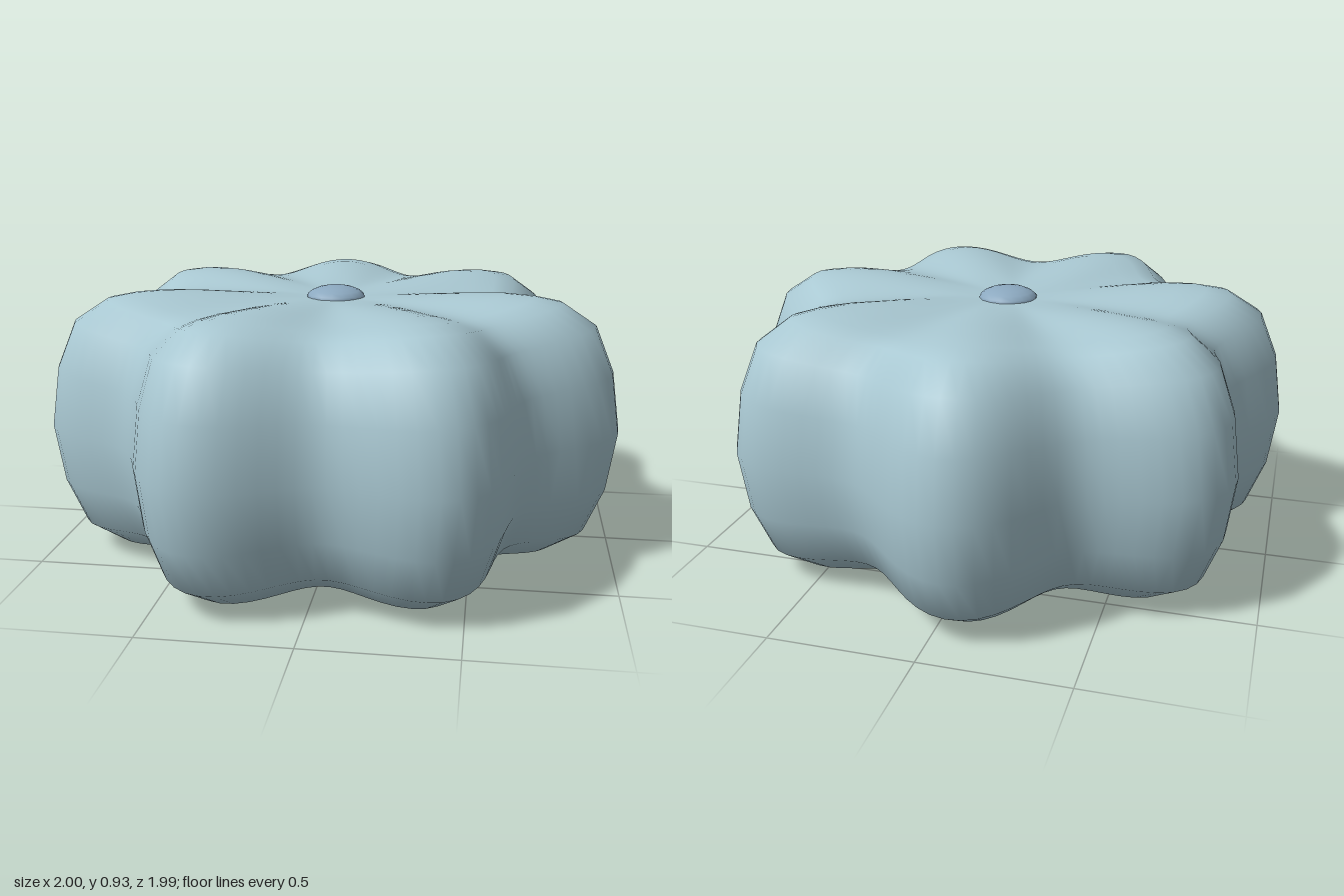
import * as THREE from 'three';

const LOBES = 7, SEGMENTS = 112, MID = 0.472;
const PHASE = THREE.MathUtils.degToRad(8.3); // direction of one lobe crest

// Half profile from pole to equator: [share of rim radius, height above the middle]
const HALF = [
  [0, 0.425], [0.1, 0.427], [0.22, 0.436], [0.34, 0.447], [0.47, 0.458], [0.6, 0.463],
  [0.7, 0.457], [0.79, 0.441], [0.905, 0.366], [0.97, 0.207], [1, 0],
];

// Lobed cushion: rings run from the top pole to the bottom pole
function cushionGeometry() {
  const lower = HALF.slice(0, -1).reverse().map(([f, y]) => [f, -y]);
  const profile = [...HALF, ...lower];
  const positions = [], index = [];
  for (const [f, y] of profile) {
    for (let i = 0; i < SEGMENTS; i++) {
      const a = (i / SEGMENTS) * Math.PI * 2;
      const wave = Math.cos(LOBES * (a - PHASE));
      const r = f * (0.937 + 0.086 * wave);
      // creases between the lobes sink a little on the top and bottom
      const sink = 0.04 * (1 - wave) / 2 * THREE.MathUtils.smoothstep(f, 0.1, 0.65) * (y / 0.463);
      positions.push(Math.cos(a) * r, y - sink, Math.sin(a) * r);
    }
  }
  for (let k = 0; k < profile.length - 1; k++) {
    for (let i = 0; i < SEGMENTS; i++) {
      const j = (i + 1) % SEGMENTS;
      const a = k * SEGMENTS + i, an = k * SEGMENTS + j;
      const b = a + SEGMENTS, bn = an + SEGMENTS;
      if (k > 0) index.push(a, an, b);
      if (k < profile.length - 2) index.push(an, bn, b);
      else if (k === 0) index.push(an, bn, b);
    }
  }
  const geometry = new THREE.BufferGeometry();
  geometry.setAttribute('position', new THREE.Float32BufferAttribute(positions, 3));
  geometry.setIndex(index);
  geometry.computeVertexNormals();
  // pole vertices belong to collapsed triangles, so aim them straight up and down
  const normal = geometry.attributes.normal;
  const last = (profile.length - 1) * SEGMENTS;
  for (let i = 0; i < SEGMENTS; i++) {
    normal.setXYZ(i, 0, 1, 0);
    normal.setXYZ(last + i, 0, -1, 0);
  }
  return geometry;
}

export function createModel() {
  const fabric = new THREE.MeshStandardMaterial({ color: 0xa9c8d2 });
  fabric.name = 'pale blue fabric';
  const buttonBlue = new THREE.MeshStandardMaterial({ color: 0x8ca9c0 });
  buttonBlue.name = 'button blue';

  const group = new THREE.Group();
  group.name = 'pouf';

  const cushion = new THREE.Mesh(cushionGeometry(), fabric);
  cushion.name = 'cushion';
  group.add(cushion);

  // Flattened buttons at both poles
  for (const side of [1, -1]) {
    const button = new THREE.Mesh(new THREE.SphereGeometry(0.107, 16, 10), buttonBlue);
    button.name = side > 0 ? 'topButton' : 'bottomButton';
    button.scale.y = 0.42;
    button.position.y = side * 0.422;
    group.add(button);
  }

  group.position.set(-0.013, MID, 0.027);
  const model = new THREE.Group();
  model.name = 'tuftedPouf';
  model.add(group);
  return model;
}
